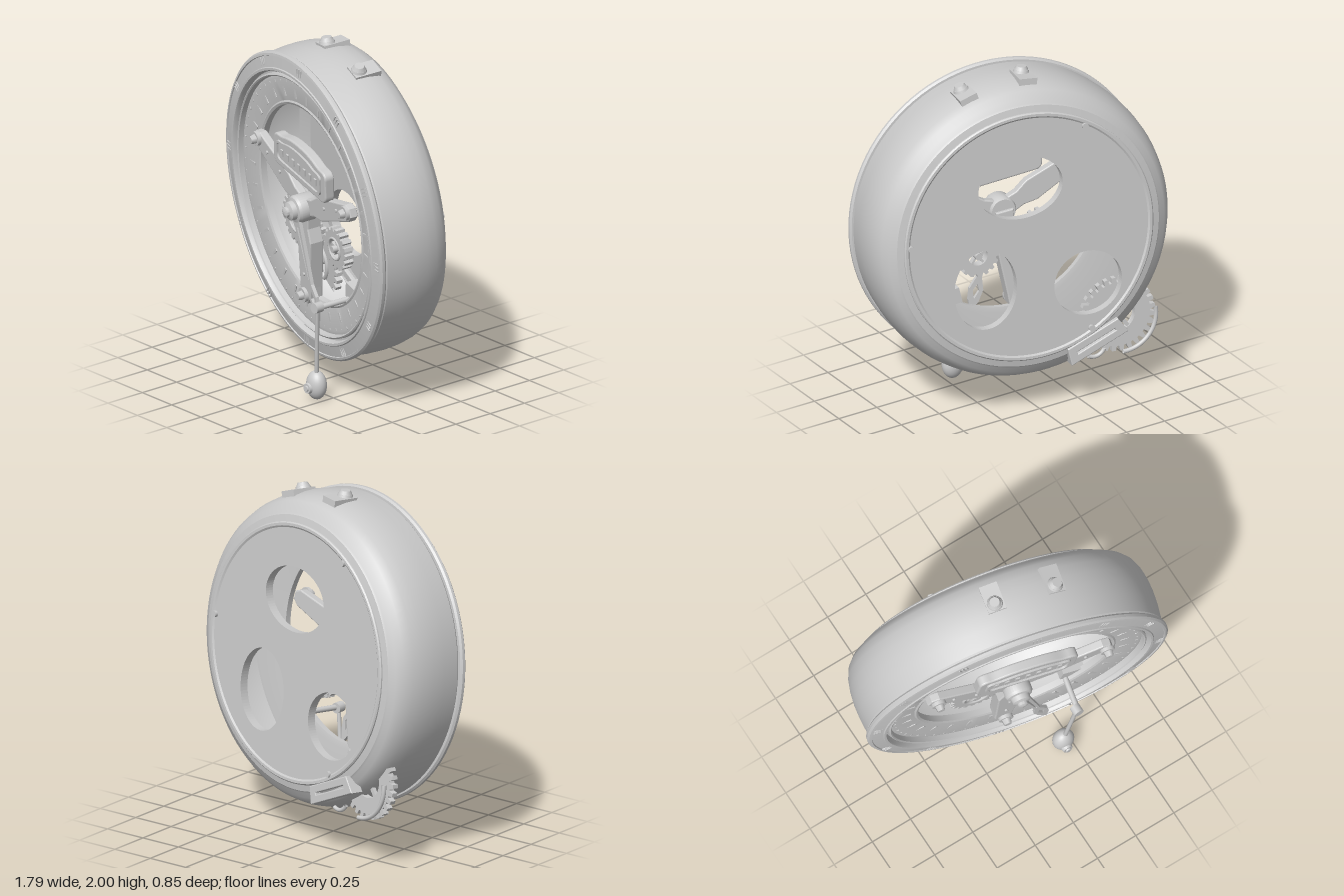
import * as THREE from 'three';
import { toCreasedNormals } from 'three/addons/utils/BufferGeometryUtils.js';

const TAU = Math.PI * 2;
const mat = new THREE.MeshStandardMaterial({ color: 0xcccccc, side: THREE.DoubleSide });

function add(parent, name, geo, x = 0, y = 0, z = 0, rz = 0) {
  const m = new THREE.Mesh(geo, mat);
  m.name = name;
  m.position.set(x, y, z);
  m.rotation.z = rz;
  parent.add(m);
  return m;
}
// Lathe around the z axis, with sharp profile corners kept
const latheZ = (pts, seg = 96) => toCreasedNormals(
  new THREE.LatheGeometry(pts.map(p => new THREE.Vector2(...p)), seg).rotateX(Math.PI / 2), 0.5);
const discZ = (r0, r1, h, seg = 28) => new THREE.CylinderGeometry(r1, r0, h, seg).rotateX(Math.PI / 2);
const plate = (shape, depth, bevel = 0) => new THREE.ExtrudeGeometry(shape, {
  depth, curveSegments: 40, bevelEnabled: bevel > 0, bevelSize: bevel, bevelThickness: bevel, bevelSegments: 3 });
const poly = pts => new THREE.Shape(pts.map(p => new THREE.Vector2(...p)));
const ellipse = (x, y, a, b) => new THREE.Path().absellipse(x, y, a, b, 0, TAU, false, 0);

// Toothed wheel with an open centre, five spokes and a small hub
function gear(parent, name, r, teeth, depth, x, y, z) {
  const g = new THREE.Group();
  g.name = name;
  const pts = [];
  for (let i = 0; i < teeth; i++) {
    [[0, 0.86], [0.3, 0.87], [0.42, 1], [0.85, 1]].forEach(([f, k]) => {
      const a = (i + f) / teeth * TAU;
      pts.push([Math.cos(a) * r * k, Math.sin(a) * r * k]);
    });
  }
  const shape = poly(pts);
  shape.holes.push(ellipse(0, 0, r * 0.45, r * 0.45));
  add(g, 'toothedRim', plate(shape, depth), 0, 0, -depth / 2);
  add(g, 'raisedCollar', new THREE.TorusGeometry(r * 0.5, r * 0.06, 8, 32), 0, 0, depth / 2);
  for (let i = 0; i < 5; i++)
    add(g, 'spoke', new THREE.BoxGeometry(r / 2, r * 0.1, depth * 0.6).translate(r / 4, 0, 0), 0, 0, 0, i / 5 * TAU + 0.3);
  add(g, 'gearHub', discZ(r * 0.16, r * 0.16, depth * 1.6), 0, 0, 0);
  g.position.set(x, y, z);
  parent.add(g);
}

function bolt(parent, x, y, z, r) {
  add(parent, 'boltWasher', discZ(r, r, 0.02), x, y, z);
  add(parent, 'boltHead', discZ(r * 0.7, r * 0.55, 0.03, 6), x, y, z + 0.025);
}

export function createModel() {
  const model = new THREE.Group();
  model.name = 'tiltedClock';

  // Leaning clock; its local z is the dial axis
  const clock = new THREE.Group();
  clock.name = 'clock';
  const n = new THREE.Vector3(-0.205, -0.085, 0.975).normalize();
  const ux = new THREE.Vector3(0, 1, 0).cross(n).normalize();
  const uy = n.clone().cross(ux);
  clock.quaternion.setFromRotationMatrix(new THREE.Matrix4().makeBasis(ux, uy, n));
  clock.position.set(0.02, 1.07, -0.015);
  model.add(clock);

  // Case shell: rounded back with a creased edge, lip, bezel, stepped dial ring, inner wall
  add(clock, 'case', latheZ([
    [0.705, -0.215], [0.705, -0.238], [0.715, -0.245], [0.73, -0.245], [0.737, -0.238], [0.737, -0.23], [0.775, -0.222],
    [0.785, -0.213], [0.815, -0.2], [0.845, -0.168], [0.868, -0.115], [0.881, -0.05], [0.886, 0.02], [0.883, 0.1], [0.872, 0.2], [0.862, 0.212]]));
  add(clock, 'bezel', latheZ([
    [0.85, 0.212], [0.878, 0.213], [0.888, 0.224], [0.888, 0.24], [0.878, 0.25], [0.865, 0.253],
    [0.862, 0.247], [0.8, 0.258], [0.795, 0.264], [0.782, 0.264], [0.776, 0.255], [0.773, 0.225],
    [0.762, 0.225], [0.76, 0.245], [0.752, 0.25], [0.745, 0.245], [0.742, 0.215]]));
  add(clock, 'dateRing', latheZ([
    [0.742, 0.215], [0.725, 0.218], [0.595, 0.2], [0.585, 0.206], [0.572, 0.2], [0.57, 0.165], [0.6, 0.16], [0.84, 0.16]]));
  add(clock, 'innerWall', latheZ([
    [0.84, 0.16], [0.855, 0.05], [0.845, -0.08], [0.8, -0.17], [0.705, -0.2]]));

  // Dial marks
  for (let i = 0; i < 62; i++) {
    const a = i / 62 * TAU;
    add(clock, 'dayMark', new THREE.BoxGeometry(0.008, i % 2 ? 0.008 : 0.014, 0.006),
      -Math.sin(a) * 0.715, Math.cos(a) * 0.715, 0.217, a);
  }
  for (let i = 0; i < 31; i++) {
    const a = (i + 0.5) / 31 * TAU;
    add(clock, 'dayBar', new THREE.BoxGeometry(0.016, 0.07, 0.005),
      -Math.sin(a) * 0.655, Math.cos(a) * 0.655, 0.209, a);
  }
  for (let i = 0; i < 12; i++) {
    for (let k = -1; k <= 1; k++) {
      const a = i / 12 * TAU - 0.1 + k * 0.025;
      add(clock, 'hourBar', new THREE.BoxGeometry(0.007, 0.055, 0.006),
        -Math.sin(a) * 0.832, Math.cos(a) * 0.832, 0.253, a);
    }
  }

  // Back plate with three openings and edge screws
  const back = new THREE.Shape().absarc(0, 0, 0.706, 0, TAU, false);
  back.holes.push(ellipse(0.04, 0.3, 0.25, 0.185), ellipse(0.265, -0.275, 0.185, 0.235), ellipse(-0.34, -0.335, 0.2, 0.19));
  add(clock, 'backPlate', plate(back, 0.05), 0, 0, -0.238);
  [4, 120, 240].forEach(d => {
    const a = d * Math.PI / 180;
    add(clock, 'backScrew', discZ(0.018, 0.018, 0.03, 16), Math.cos(a) * 0.7, Math.sin(a) * 0.7, -0.24);
  });

  // Three arms bolted to the date ring; the lower one is broader and deeper
  [[-0.48, 0.25, 0.062, 0.035], [0.52, 0.14, 0.062, 0.035], [-0.06, -0.55, 0.068, 0.07]].forEach(([x, y, w, d]) => {
    const l = Math.hypot(x, y), rz = Math.atan2(y, x);
    const arm = poly([[0, -0.045], [0.12, -0.04], [0.2, -w], [l - 0.06, -0.045], [l, -0.042], [l + 0.035, -0.02],
      [l + 0.035, 0.02], [l, 0.042], [l - 0.06, 0.045], [0.2, w], [0.12, 0.04], [0, 0.045]]);
    add(clock, 'arm', plate(arm, d, 0.008), -0.01, -0.01, 0.24 - d, rz);
    bolt(clock, x, y, 0.262, 0.042);
    for (const f of [0.5, 0.78])
      add(clock, 'armRivet', discZ(0.01, 0.01, 0.012, 12), x * f - 0.01, y * f, 0.252);
  });

  // Centre hub
  add(clock, 'hub', latheZ([[0, 0.18], [0.07, 0.18], [0.08, 0.2], [0.08, 0.29], [0.072, 0.305], [0.055, 0.31],
    [0.052, 0.338], [0.035, 0.345], [0.03, 0.347], [0.03, 0.362], [0.015, 0.37], [0, 0.37]], 32), -0.01, -0.01, 0);

  // Pointer: forked tapering bars ending in an open lozenge
  const hand = poly([[-0.034, 0], [0.034, 0], [0.016, 0.43], [0.042, 0.5], [0.032, 0.57], [0, 0.64], [-0.032, 0.57], [-0.042, 0.5], [-0.016, 0.43]]);
  hand.holes.push(poly([[0, 0.47], [-0.02, 0.51], [0, 0.56], [0.02, 0.51]]), poly([[0, 0.1], [-0.008, 0.1], [-0.003, 0.4], [0.003, 0.4], [0.008, 0.1]]));
  add(clock, 'pointer', plate(hand, 0.02), -0.01, -0.01, 0.285, Math.PI + 0.28);

  // Weekday panel: arched plate with raised rim and seven tabs
  const panel = new THREE.Group();
  panel.name = 'weekdayPanel';
  const outline = (w, h) => {
    const s = new THREE.Shape();
    s.moveTo(-w + 0.04, -h);
    s.lineTo(w - 0.04, -h);
    s.quadraticCurveTo(w, -h, w, -h + 0.04);
    s.lineTo(w, h * 0.4);
    s.quadraticCurveTo(w, h * 0.75, w - 0.05, h * 0.75);
    s.bezierCurveTo(w * 0.6, h * 0.75, w * 0.55, h * 1.1, 0, h * 1.1);
    s.bezierCurveTo(-w * 0.55, h * 1.1, -w * 0.6, h * 0.75, -w + 0.05, h * 0.75);
    s.quadraticCurveTo(-w, h * 0.75, -w, h * 0.4);
    s.lineTo(-w, -h + 0.04);
    s.quadraticCurveTo(-w, -h, -w + 0.04, -h);
    return s;
  };
  add(panel, 'panelBody', plate(outline(0.285, 0.1), 0.04, 0.01));
  const rim = outline(0.25, 0.075);
  rim.holes.push(outline(0.235, 0.06));
  add(panel, 'panelRim', plate(rim, 0.012), 0, 0, 0.05);
  for (let i = -3; i <= 3; i++)
    add(panel, 'dayTab', new THREE.BoxGeometry(0.024, 0.04, 0.012), i * 0.063, -0.01, 0.053);
  panel.position.set(0.04, 0.265, 0.225);
  panel.rotation.z = -0.13;
  clock.add(panel);

  // Exposed gears
  gear(clock, 'leftGear', 0.15, 20, 0.04, -0.22, -0.17, 0.17);
  gear(clock, 'rightGear', 0.125, 17, 0.055, 0.175, -0.22, 0.14);
  gear(clock, 'lowerGear', 0.22, 28, 0.035, -0.55, -0.605, -0.11);

  // Slotted bracket and curved guards at the lower back
  const slot = poly([[-0.18, -0.045], [0.18, -0.045], [0.16, 0.045], [-0.16, 0.045]]);
  slot.holes.push(poly([[-0.13, -0.012], [0.13, -0.012], [0.13, 0.012], [-0.13, 0.012]]));
  add(clock, 'backBracket', plate(slot, 0.07, 0.006), -0.375, -0.69, -0.245, -0.42);
  add(clock, 'bracketSlotFloor', new THREE.BoxGeometry(0.28, 0.04, 0.015), -0.375, -0.69, -0.205, -0.42);
  add(clock, 'gearGuard', new THREE.TorusGeometry(0.205, 0.013, 8, 32, 1.7), -0.55, -0.605, -0.18, 3.0);
  add(clock, 'guardHook', new THREE.TorusGeometry(0.07, 0.012, 8, 20, 1.6), -0.38, -0.74, -0.18, 3.6);

  // Two top buttons on base plates
  [[0.075, 0.876], [-0.33, 0.874]].forEach(([a, r]) => {
    const b = new THREE.Group();
    b.name = 'topButton';
    add(b, 'buttonBase', new THREE.BoxGeometry(0.105, 0.045, 0.16), 0, 0, -0.05);
    add(b, 'buttonCollar', new THREE.CylinderGeometry(0.04, 0.046, 0.016, 24), 0, 0.028, -0.015);
    add(b, 'buttonKnob', new THREE.CylinderGeometry(0.028, 0.04, 0.022, 14), 0, 0.045, -0.015);
    b.position.set(-Math.sin(a) * r, Math.cos(a) * r, 0);
    b.rotation.z = a;
    clock.add(b);
  });

  // Pendulum pivot pin on the dial
  add(clock, 'pivotBlock', new THREE.BoxGeometry(0.13, 0.09, 0.1), 0.36, -0.43, 0.13, -0.2);
  add(clock, 'pivotPin', discZ(0.016, 0.016, 0.2, 16), 0.32, -0.47, 0.28);

  // Pendulum: eyelet, rod, egg-shaped bob with a front stud
  const top = new THREE.Vector3(0.26, 0.57, 0.375), bob = new THREE.Vector3(0.2, 0.085, 0.33);
  add(model, 'pendulumEyelet', discZ(0.03, 0.03, 0.05, 16), ...top);
  add(model, 'pendulumRod', new THREE.TubeGeometry(new THREE.LineCurve3(top, bob), 1, 0.012, 10));
  add(model, 'pendulumBob', new THREE.SphereGeometry(1, 28, 18).scale(0.064, 0.084, 0.054), ...bob);
  add(model, 'bobStud', discZ(0.034, 0.028, 0.03, 20), 0.192, 0.075, 0.38);
  add(model, 'bobStudCap', discZ(0.018, 0.016, 0.012, 16), 0.192, 0.075, 0.398);
  return model;
}
